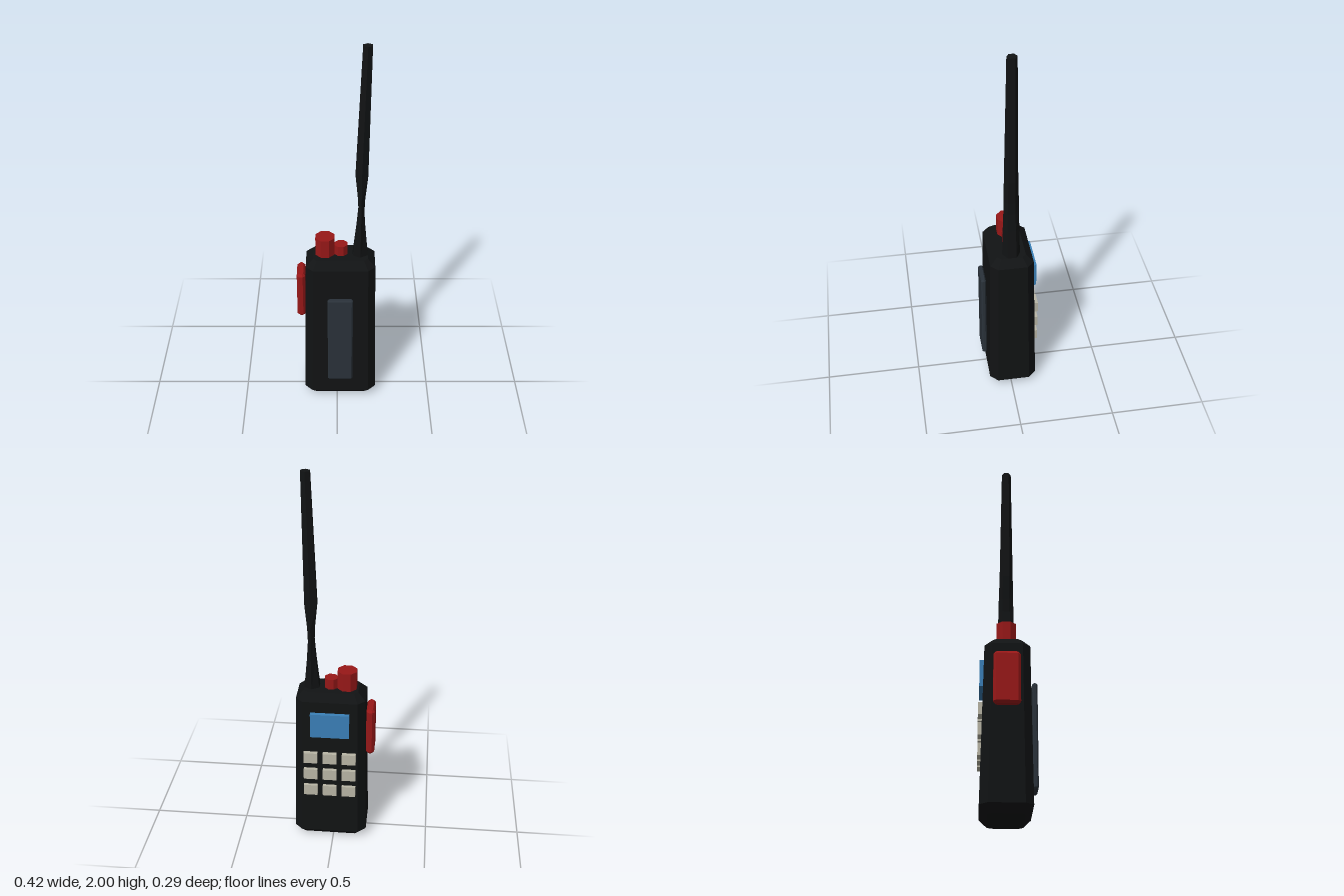
import * as THREE from 'three';

const mat = (color) => new THREE.MeshStandardMaterial({ color, flatShading: true, roughness: 0.8 });
const BLACK = mat(0x111314), SLATE = mat(0x2a323a), RED = mat(0x981818);
const BLUE = mat(0x3a80b8), CREAM = mat(0xbab6a6);

// Rectangle with cut corners in the xz plane, as one cross-section at height y
function octagon(y, cx, cz, hx, hz, c) {
  const corners = [[hx, hz - c], [hx - c, hz], [c - hx, hz], [-hx, hz - c],
    [-hx, c - hz], [c - hx, -hz], [hx - c, -hz], [hx, c - hz]];
  return corners.map(([x, z]) => [cx + x, y, cz + z]);
}

// Hexagon with points towards +z and -z
function hexagon(y, cx, cz, hx, hz) {
  return Array.from({ length: 6 }, (_, i) => {
    const a = (i * Math.PI) / 3;
    return [cx + (hx * Math.sin(a)) / Math.sin(Math.PI / 3), y, cz + hz * Math.cos(a)];
  }).reverse();
}

// Skin over cross-sections from bottom to top, with both ends capped
function loft(rings) {
  const n = rings[0].length, index = [];
  for (let r = 0; r < rings.length - 1; r++) {
    for (let i = 0; i < n; i++) {
      const a = r * n + i, b = r * n + ((i + 1) % n);
      index.push(a, a + n, b, b, a + n, b + n);
    }
  }
  const top = (rings.length - 1) * n;
  for (let i = 1; i < n - 1; i++) {
    index.push(0, i, i + 1, top, top + i + 1, top + i);
  }
  const g = new THREE.BufferGeometry();
  g.setAttribute('position', new THREE.Float32BufferAttribute(rings.flat(2), 3));
  g.setIndex(index);
  const flat = g.toNonIndexed();
  flat.computeVertexNormals();
  return flat;
}

export function createModel() {
  const model = new THREE.Group();
  model.name = 'handheldRadio';
  const add = (name, geometry, material, x = 0, y = 0, z = 0) => {
    const mesh = new THREE.Mesh(geometry, material);
    mesh.name = name;
    mesh.position.set(x, y, z);
    model.add(mesh);
    return mesh;
  };

  // Tapered case with bevelled edges
  add('body', loft([
    octagon(0, 0.017, -0.01, 0.152, 0.088, 0.02),
    octagon(0.04, 0.017, -0.01, 0.192, 0.126, 0.04),
    octagon(0.83, 0.017, -0.006, 0.178, 0.112, 0.037),
    octagon(0.868, 0.017, -0.006, 0.14, 0.074, 0.02),
  ]), BLACK);

  // Leaning antenna, pinched above its base
  add('antenna', loft([
    hexagon(0.85, 0.118, -0.007, 0.04, 0.046),
    hexagon(1.03, 0.12, -0.006, 0.022, 0.042),
    hexagon(1.13, 0.121, -0.006, 0.015, 0.039),
    hexagon(1.2, 0.121, -0.006, 0.018, 0.038),
    hexagon(1.33, 0.121, -0.005, 0.031, 0.035),
    hexagon(2, 0.14, -0.004, 0.022, 0.025),
  ]), BLACK);

  // Control knobs
  const knob = (name, r, top, x, z) => {
    const h = top - 0.85;
    const g = new THREE.CylinderGeometry(r, r, h, 8).rotateY(Math.PI / 8);
    add(name, g, RED, x, 0.85 + h / 2, z);
  };
  knob('largeKnob', 0.053, 0.968, -0.063, -0.01);
  knob('smallKnob', 0.036, 0.923, 0.019, -0.01);

  // Talk button on the right side
  add('talkButton', loft([
    octagon(0.505, -0.188, -0.009, 0.012, 0.055, 0.008),
    octagon(0.518, -0.188, -0.009, 0.022, 0.066, 0.013),
    octagon(0.757, -0.188, -0.009, 0.022, 0.066, 0.013),
    octagon(0.77, -0.188, -0.009, 0.012, 0.055, 0.008),
  ]), RED);

  // Belt clip
  add('beltClip', loft([
    octagon(0.14, 0.016, 0.131, 0.06, 0.007, 0.004),
    octagon(0.148, 0.016, 0.131, 0.066, 0.013, 0.007),
    octagon(0.66, 0.016, 0.131, 0.066, 0.013, 0.007),
    octagon(0.668, 0.016, 0.131, 0.06, 0.007, 0.004),
  ]), SLATE);

  // Screen and keypad on the back face
  add('screen', new THREE.BoxGeometry(0.2, 0.135, 0.03), BLUE, 0.017, 0.703, -0.126);
  const key = new THREE.BoxGeometry(0.072, 0.06, 0.03);
  for (let row = 0; row < 3; row++) {
    for (let col = 0; col < 3; col++) {
      add('key', key, CREAM, -0.083 + col * 0.1, 0.508 - row * 0.1, -0.131);
    }
  }
  return model;
}
